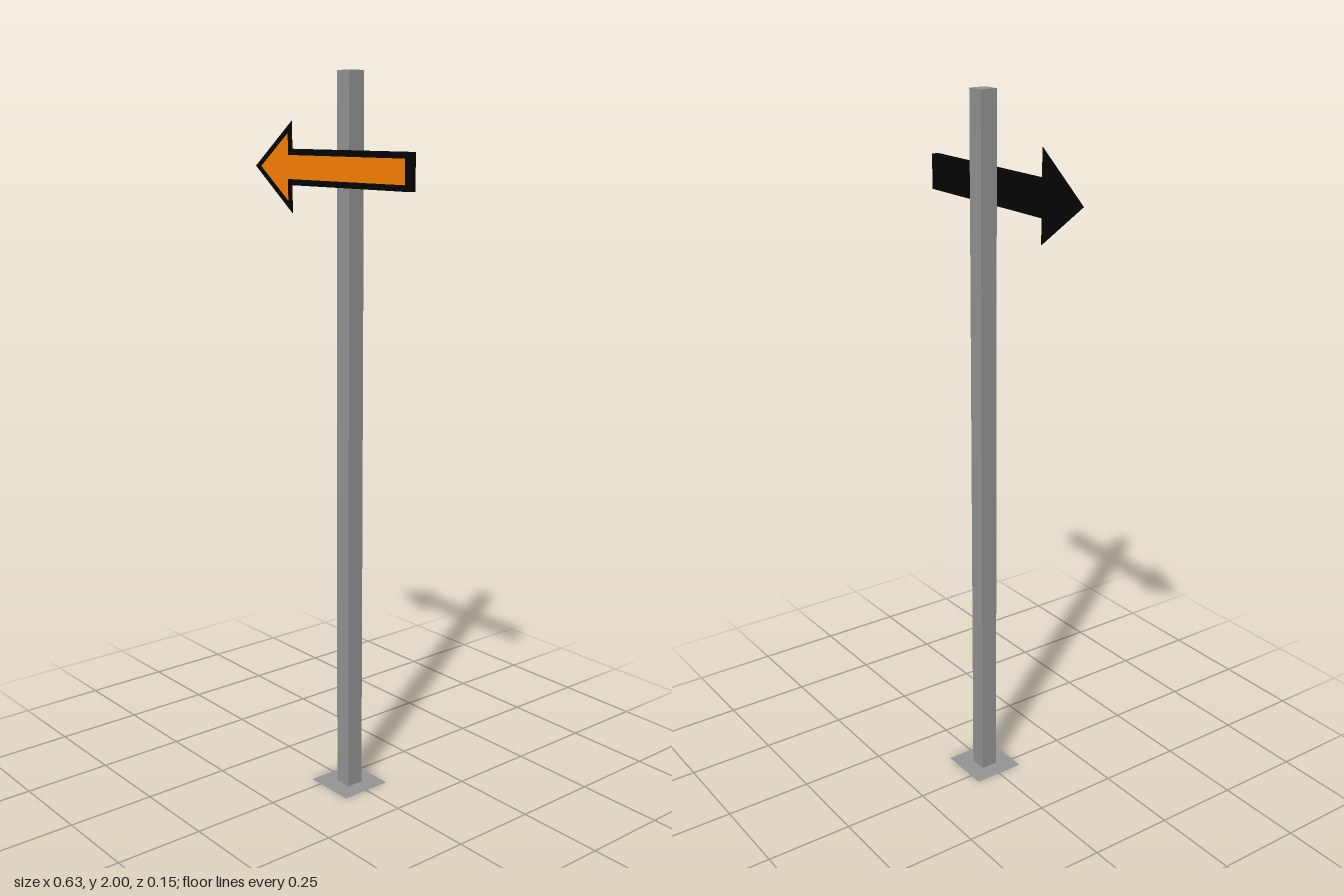
import * as THREE from 'three';

const GREY = 0x959595, BLACK = 0x040404, ORANGE = 0xfd8203;

function addPart(group, name, geometry, color, x, y, z, side = THREE.FrontSide) {
  const mesh = new THREE.Mesh(geometry, new THREE.MeshStandardMaterial({ color, side }));
  mesh.name = name;
  mesh.position.set(x, y, z);
  group.add(mesh);
  return mesh;
}

// Arrow outline pointing to -x, symmetric about y = 0
function arrowShape(tip, neck, tail, headHalf, shaftHalf) {
  const upper = [[neck, headHalf], [neck, shaftHalf], [tail, shaftHalf]];
  const lower = upper.map(([x, y]) => [x, -y]).reverse();
  return new THREE.Shape([[tip, 0], ...upper, ...lower].map(([x, y]) => new THREE.Vector2(x, y)));
}

export function createModel() {
  const group = new THREE.Group();
  group.name = 'arrowSignpost';
  const postX = 0.038, signY = 1.751;

  // Thin ground plate and square post
  const plate = addPart(group, 'basePlate', new THREE.PlaneGeometry(0.152, 0.152), GREY,
    postX, 0, 0, THREE.DoubleSide);
  plate.rotation.x = -Math.PI / 2;
  addPart(group, 'post', new THREE.BoxGeometry(0.05, 2, 0.05), GREY, postX, 1, 0);

  // Solid shaft of the sign, mounted on the front of the post
  addPart(group, 'signBoard', new THREE.BoxGeometry(0.557, 0.096, 0.019), BLACK,
    0.0385, signY, 0.0345);

  // Thin arrow sheet with a coloured face leaving a dark border
  const backing = new THREE.ExtrudeGeometry(arrowShape(-0.318, -0.154, 0.317, 0.122, 0.048),
    { depth: 0.002, bevelEnabled: false });
  addPart(group, 'arrowBacking', backing, BLACK, 0, signY, 0.043);
  const face = new THREE.ShapeGeometry(arrowShape(-0.292, -0.17, 0.301, 0.09, 0.032));
  addPart(group, 'arrowFace', face, ORANGE, 0, signY, 0.046);

  return group;
}
